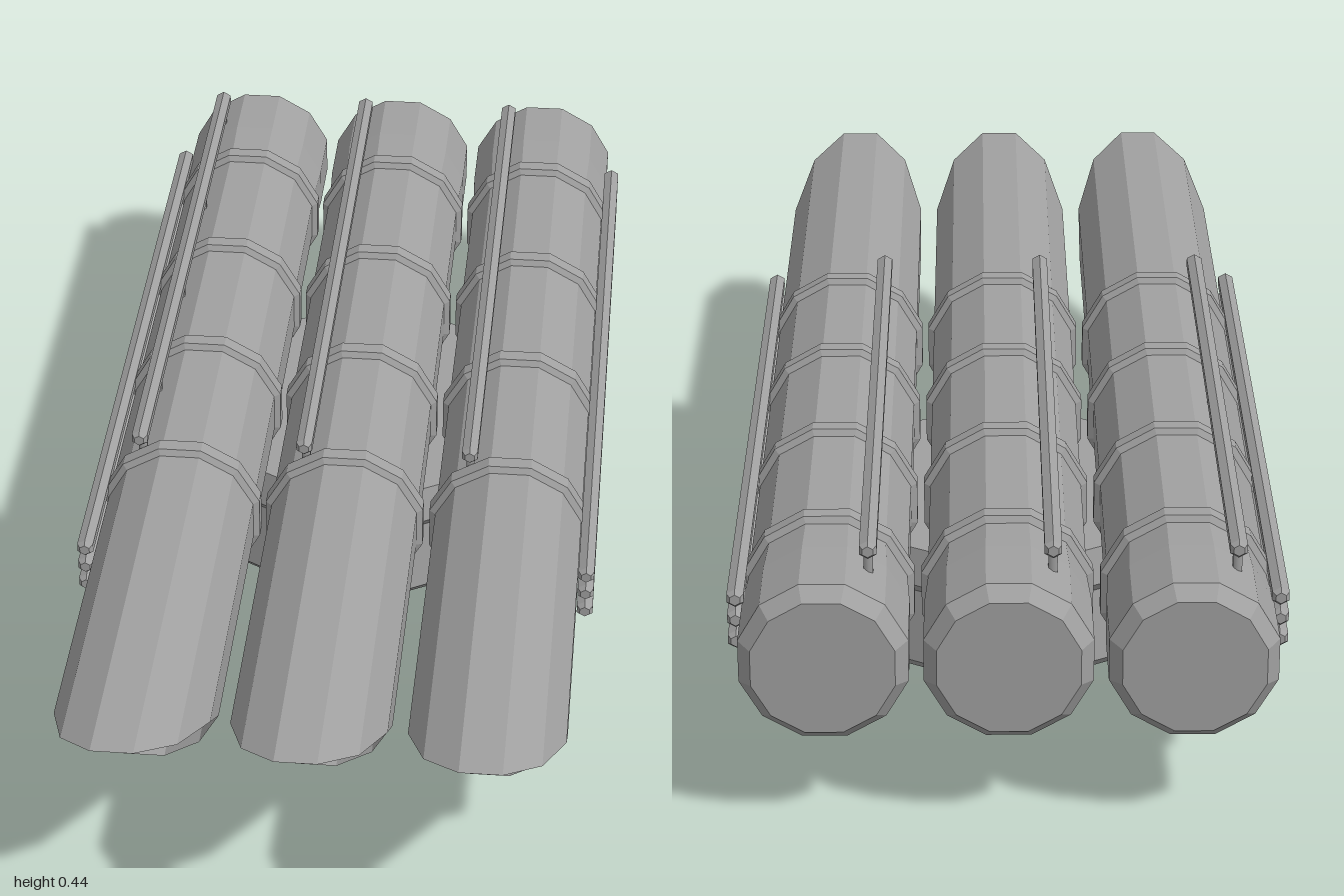
import * as THREE from 'three';

const steel = new THREE.MeshStandardMaterial({ color: 0xa0a0a0 });
const steelShell = new THREE.MeshStandardMaterial({ color: 0xa0a0a0, side: THREE.DoubleSide });

const TUBE_Y = 0.274, SPACING = 0.273;

// Faceted solid of revolution; profile is [radius, height] from bottom to top
function turned(profile, sides, start = 0) {
  return new THREE.LatheGeometry(profile.map(([r, h]) => new THREE.Vector2(r, h)), sides, start);
}

function faceted(geometry) {
  const flat = geometry.toNonIndexed();
  flat.computeVertexNormals();
  return flat;
}

function addPart(parent, name, geometry, x, y, z, material = steel) {
  const mesh = new THREE.Mesh(geometry, material);
  mesh.name = name;
  mesh.position.set(x, y, z);
  parent.add(mesh);
  return mesh;
}

// Twelve-sided shell with a swollen breech and a raked, hooded mouth
function tubeGeometry() {
  const g = turned([[0, -1], [0.11, -1], [0.13, -0.975], [0.13, -0.85],
    [0.1253, -0.77], [0.1253, 0.715]], 12, Math.PI / 12).rotateX(Math.PI / 2);
  const p = g.attributes.position;
  for (let i = 0; i < p.count; i++) {
    if (p.getZ(i) < 0.7) continue;
    const y = p.getY(i);
    p.setZ(i, y > 0.11 ? 1 : y > 0.07 ? 0.935 : y > 0.01 ? 0.81 : 0.715);
  }
  return faceted(g);
}

// Hexagonal bar with chamfered ends, lying along z
function railGeometry(length) {
  const h = length / 2, r = 0.0148;
  return faceted(turned([[0, -h], [0.009, -h], [r, -h + 0.008], [r, h - 0.008],
    [0.009, h], [0, h]], 6).rotateX(Math.PI / 2));
}

export function createModel() {
  const model = new THREE.Group();
  model.name = 'tripleLauncher';

  // Turntable: tapered base and the collar under the tubes
  const base = faceted(turned([[0, 0], [0.3, 0], [0.3127, 0.015], [0.3, 0.137], [0, 0.137]],
    12, Math.PI / 12));
  addPart(model, 'turntableBase', base, 0, 0, -0.228);
  const collar = faceted(turned([[0, 0.137], [0.3, 0.137], [0.3127, 0.153], [0.3, 0.213], [0, 0.213]],
    12, Math.PI / 12));
  addPart(model, 'turntableCollar', collar, 0, 0, -0.228);

  const tube = tubeGeometry();
  const plug = faceted(turned([[0, 0.24], [0.11, 0.24], [0.125, 0.27]], 12, Math.PI / 12)
    .rotateX(Math.PI / 2));
  const band = faceted(turned([[0.122, -0.021], [0.1356, -0.013], [0.1356, 0.013], [0.122, 0.021]],
    12, Math.PI / 12).rotateX(Math.PI / 2));
  const topRail = railGeometry(1.16);
  const post = new THREE.CylinderGeometry(0.008, 0.008, 0.045, 6);

  for (const side of [-1, 0, 1]) {
    const barrel = new THREE.Group();
    barrel.name = ['rightTube', 'middleTube', 'leftTube'][side + 1];
    barrel.position.set(side * SPACING, TUBE_Y, 0);
    model.add(barrel);
    addPart(barrel, 'tubeShell', tube, 0, 0, 0, steelShell);
    addPart(barrel, 'innerBulkhead', plug, 0, 0, 0, steelShell);
    for (const z of [-0.745, -0.425, -0.1, 0.22]) addPart(barrel, 'band', band, 0, 0, z, steelShell);

    // Rail on posts along the top
    addPart(barrel, 'topRail', topRail, -0.066, 0.15, -0.34);
    for (const z of [0.198, 0.02, -0.28, -0.583, -0.89]) {
      addPart(barrel, 'railPost', post, -0.066, 0.124, z);
    }
  }

  // Three rails along each outer flank
  const sideRail = railGeometry(1.28);
  for (const side of [-1, 1]) {
    for (const y of [0.251, 0.286, 0.32]) {
      addPart(model, side > 0 ? 'leftSideRail' : 'rightSideRail', sideRail, side * 0.408, y, -0.23);
    }
  }
  return model;
}
